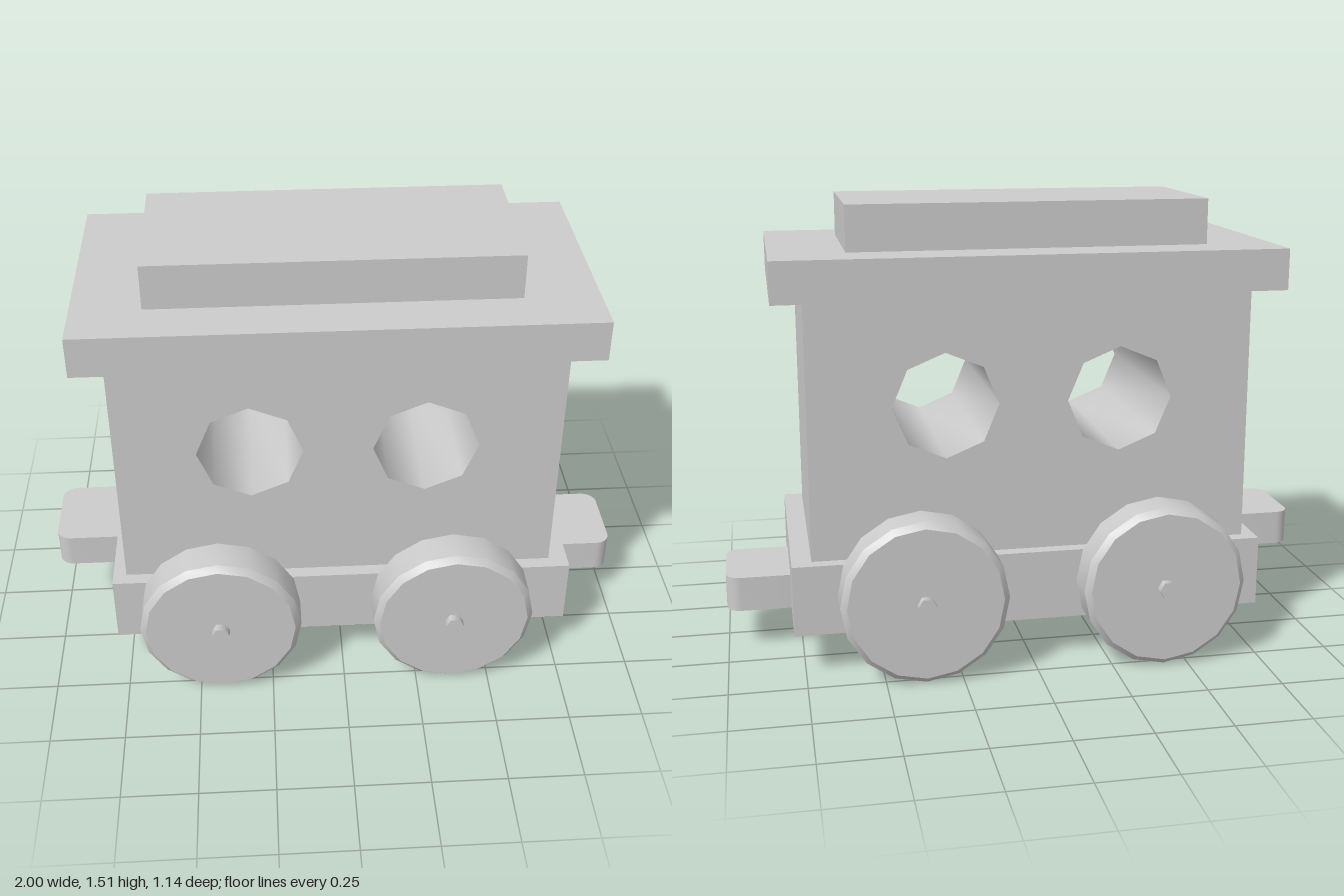
import * as THREE from 'three';
import { toCreasedNormals } from 'three/addons/utils/BufferGeometryUtils.js';

const material = new THREE.MeshStandardMaterial({ color: 0xcccccc });

export function createModel() {
  const model = new THREE.Group();
  model.name = 'toyRailCar';

  const add = (name, geometry) => {
    const mesh = new THREE.Mesh(geometry, material);
    mesh.name = name;
    model.add(mesh);
    return mesh;
  };

  // Box given by its two opposite corners
  const block = (name, x0, x1, y0, y1, z0, z1) =>
    add(name, new THREE.BoxGeometry(x1 - x0, y1 - y0, z1 - z0))
      .position.set((x0 + x1) / 2, (y0 + y1) / 2, (z0 + z1) / 2);

  block('deck', -0.785, 0.785, 0.14, 0.375, -0.4, 0.4);
  block('roof', -0.84, 0.82, 1.225, 1.36, -0.42, 0.42);
  block('roofTop', -0.615, 0.575, 1.36, 1.51, -0.255, 0.255);

  // Cabin with two octagonal windows cut right through
  const wall = new THREE.Shape([[-0.74, 0.375], [0.72, 0.375], [0.72, 1.225], [-0.74, 1.225]]
    .map(([x, y]) => new THREE.Vector2(x, y)));
  for (const cx of [-0.3, 0.275]) {
    const points = [];
    for (let i = 0; i < 8; i++) {
      const a = -i * Math.PI / 4;
      points.push(new THREE.Vector2(cx + 0.174 * Math.cos(a), 0.873 + 0.174 * Math.sin(a)));
    }
    wall.holes.push(new THREE.Path(points));
  }
  const cabin = new THREE.ExtrudeGeometry(wall, { depth: 0.71, bevelEnabled: false });
  cabin.translate(0, 0, -0.355);
  add('cabin', toCreasedNormals(cabin, 1.0));

  // Coupling tongues with rounded outer corners: high at one end, low at the other
  const tongue = new THREE.Shape();
  const w = 0.147, r = 0.05;
  tongue.moveTo(0.78, -w);
  tongue.lineTo(1 - r, -w);
  tongue.absarc(1 - r, -w + r, r, -Math.PI / 2, 0);
  tongue.absarc(1 - r, w - r, r, 0, Math.PI / 2);
  tongue.lineTo(0.78, w);
  const coupling = (name, y, height, turn) => {
    const geometry = new THREE.ExtrudeGeometry(tongue, { depth: height, bevelEnabled: false, curveSegments: 5 });
    geometry.rotateX(-Math.PI / 2);
    const mesh = add(name, toCreasedNormals(geometry, 0.8));
    mesh.position.y = y;
    mesh.rotation.y = turn;
  };
  coupling('leftCoupling', 0.14, 0.118, 0);
  coupling('rightCoupling', 0.258, 0.117, Math.PI);

  // Bevelled wheels, turned around their axle
  const profile = [[0, -0.075], [0.252, -0.075], [0.272, -0.055], [0.272, 0.055], [0.252, 0.075], [0, 0.075]]
    .map(([x, y]) => new THREE.Vector2(x, y));
  const wheel = toCreasedNormals(new THREE.LatheGeometry(profile, 16).rotateX(Math.PI / 2), 0.6);

  // Hexagonal axle pins run through each wheel pair
  const axle = toCreasedNormals(
    new THREE.CylinderGeometry(0.03, 0.03, 1.14, 6).rotateY(Math.PI / 2).rotateX(Math.PI / 2), 1.2);

  for (const [end, x] of [['right', -0.42], ['left', 0.37]]) {
    add(end + 'Axle', axle).position.set(x, 0.275, 0);
    for (const side of [1, -1]) {
      add(end + (side > 0 ? 'FrontWheel' : 'BackWheel'), wheel).position.set(x, 0.274, side * 0.467);
    }
  }

  return model;
}
